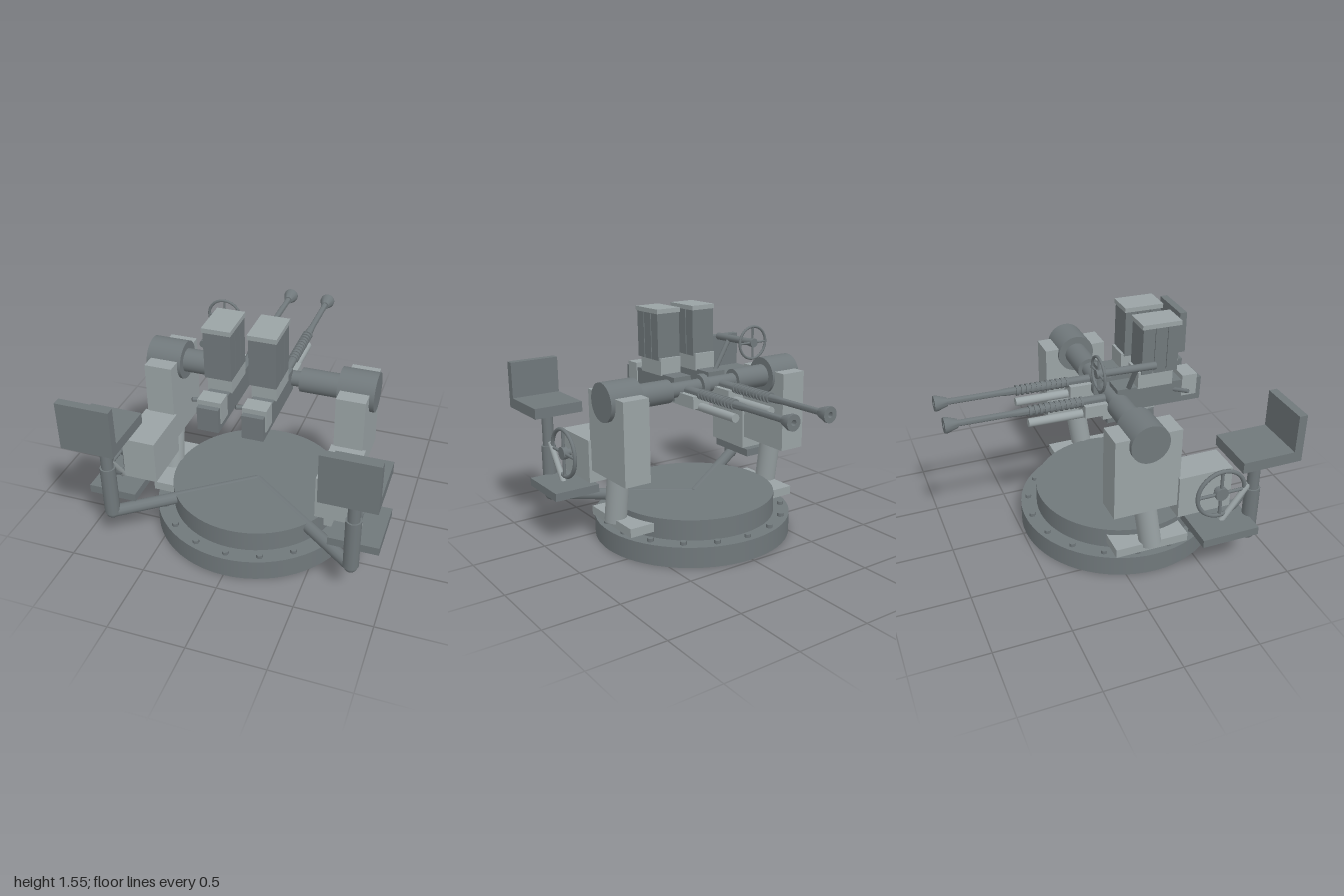
import * as THREE from 'three';
import { toCreasedNormals } from 'three/addons/utils/BufferGeometryUtils.js';

const dark = new THREE.MeshStandardMaterial({ color: 0x70787b });
const light = new THREE.MeshStandardMaterial({ color: 0x9aa3a5 });

function add(parent, name, geometry, material) {
  const mesh = new THREE.Mesh(geometry, material);
  mesh.name = name;
  parent.add(mesh);
  return mesh;
}

// Box given by its low and high limits on each axis
function box(parent, name, material, [x0, x1], [y0, y1], [z0, z1]) {
  const mesh = add(parent, name, new THREE.BoxGeometry(x1 - x0, y1 - y0, z1 - z0), material);
  mesh.position.set((x0 + x1) / 2, (y0 + y1) / 2, (z0 + z1) / 2);
  return mesh;
}

// Round bar between two points
function rod(parent, name, material, from, to, r0, r1 = r0, sides = 20) {
  const a = new THREE.Vector3(...from), b = new THREE.Vector3(...to);
  const dir = b.clone().sub(a);
  const mesh = add(parent, name, new THREE.CylinderGeometry(r1, r0, dir.length(), sides), material);
  mesh.position.copy(a).add(b).multiplyScalar(0.5);
  mesh.quaternion.setFromUnitVectors(new THREE.Vector3(0, 1, 0), dir.normalize());
  return mesh;
}

// Four-spoke wheel lying in its own xy plane
function spokedWheel(name, radius, tube) {
  const wheel = new THREE.Group();
  wheel.name = name;
  add(wheel, 'rim', new THREE.TorusGeometry(radius - tube, tube, 8, 40), dark);
  rod(wheel, 'spoke', dark, [-radius + tube, 0, 0], [radius - tube, 0, 0], tube * 0.8, tube * 0.8, 8);
  rod(wheel, 'spoke', dark, [0, -radius + tube, 0], [0, radius - tube, 0], tube * 0.8, tube * 0.8, 8);
  rod(wheel, 'hub', dark, [0, 0, -0.018], [0, 0, 0.018], radius * 0.25);
  return wheel;
}

function createBase() {
  const base = new THREE.Group();
  base.name = 'base';
  base.position.z = 0.2;
  rod(base, 'lowerDisc', dark, [0, 0, 0], [0, 0.14, 0], 0.68, 0.68, 64);
  rod(base, 'upperDisc', dark, [0, 0.14, 0], [0, 0.28, 0], 0.57, 0.57, 64);
  for (let i = 0; i < 18; i++) {
    const a = (i / 18) * Math.PI * 2;
    const x = Math.sin(a) * 0.63, z = Math.cos(a) * 0.63;
    rod(base, 'bolt', dark, [x, 0.14, z], [x, 0.163, z], 0.022, 0.022, 6);
  }
  return base;
}

// Support, gearbox and operator seat for one side (s = 1 is the left)
function createSide(s) {
  const side = new THREE.Group();
  side.name = s > 0 ? 'leftSide' : 'rightSide';
  const bx = (name, mat, [x0, x1], y, z) => box(side, name, mat, s > 0 ? [x0, x1] : [-x1, -x0], y, z);
  const bar = (name, mat, a, b, r, sides) =>
    rod(side, name, mat, [a[0] * s, a[1], a[2]], [b[0] * s, b[1], b[2]], r, r, sides);

  // Leaning leg and bearing housing
  bx('footPlate', light, [0.45, 0.67], [0.18, 0.24], [-0.08, 0.42]);
  bar('leg', light, [0.635, 0.22, 0.168], [0.635, 0.62, 0.105], 0.073, 24);
  bx('bearingHousing', light, [0.54, 0.725], [0.54, 1.09], [-0.125, 0.31]);
  bar('trunnionDrum', dark, [0.52, 1.047, 0.09], [0.755, 1.047, 0.09], 0.127, 40);
  bar('trunnionSleeve', dark, [0.265, 1.047, 0.09], [0.52, 1.047, 0.09], 0.078, 32);

  // Gearbox with its handwheel
  bx('gearbox', light, [0.525, 0.745], [0.455, 0.745], [0.3, 0.665]);
  bar('wheelShaft', dark, [0.74, 0.6, 0.57], [0.8, 0.6, 0.57], 0.025, 16);
  const wheel = spokedWheel('sideHandwheel', 0.178, 0.014);
  wheel.position.set(0.792 * s, 0.6, 0.57);
  wheel.rotation.y = Math.PI / 2;
  side.add(wheel);

  // Arm from the base, seat post and brace
  bar('seatArm', dark, [0, 0.243, 0.19], [0.795, 0.243, 0.79], 0.041, 12);
  const elbow = add(side, 'elbow', new THREE.SphereGeometry(0.045, 16, 12), dark);
  elbow.position.set(0.795 * s, 0.245, 0.79);
  bar('outerPost', dark, [0.795, 0.245, 0.79], [0.795, 0.6, 0.79], 0.05, 12);
  bar('innerPost', dark, [0.795, 0.6, 0.79], [0.795, 0.86, 0.79], 0.039, 12);
  bar('footrestBrace', light, [0.795, 0.63, 0.76], [0.795, 0.39, 0.585], 0.02, 10);
  bx('footrest', dark, [0.635, 0.955], [0.345, 0.4], [0.38, 0.765]);
  bx('seat', dark, [0.622, 0.968], [0.855, 0.927], [0.6, 1]);
  bx('seatBack', dark, [0.622, 0.968], [0.9, 1.175], [0.945, 1]);
  return side;
}

// One gun; its origin is on the trunnion axis
function createGun() {
  const gun = new THREE.Group();
  gun.name = 'gun';
  box(gun, 'cradle', light, [-0.062, 0.062], [-0.092, -0.01], [-0.2, 0.28]);
  box(gun, 'receiver', dark, [-0.067, 0.067], [-0.08, 0.078], [0.01, 0.6]);
  box(gun, 'rearCollar', light, [-0.075, 0.075], [-0.035, 0.11], [0.46, 0.565]);
  rod(gun, 'gasTube', light, [0, -0.085, 0.1], [0, -0.085, -0.56], 0.028);
  rod(gun, 'chargingHandle', dark, [-0.06, 0.015, 0.41], [-0.15, 0.035, 0.47], 0.014, 0.014, 10);

  // Barrel with cooling rings and a flared muzzle
  const profile = [[0, 0], [0.029, 0], [0.029, 0.4], [0.025, 0.41], [0.025, 0.56], [0.02, 0.62],
    [0.02, 0.955], [0.028, 0.955], [0.05, 1.02], [0.05, 1.04], [0.018, 1.04], [0.018, 0.98], [0, 0.98]]
    .map(([r, y]) => new THREE.Vector2(r, y));
  const barrel = add(gun, 'barrel', toCreasedNormals(new THREE.LatheGeometry(profile, 24), 0.6), dark);
  barrel.rotation.x = -Math.PI / 2;
  barrel.position.z = -0.05;
  for (let i = 0; i < 11; i++) {
    const z = -0.2 - i * 0.034;
    rod(gun, 'coolingRing', dark, [0, 0, z], [0, 0, z - 0.016], 0.035, 0.035, 20);
  }

  // Magazine: core, ribbed sides, feed block and lid
  box(gun, 'feedBlock', light, [-0.078, 0.078], [0.07, 0.185], [0.145, 0.385]);
  box(gun, 'magazineCore', dark, [-0.077, 0.077], [0.17, 0.48], [0.165, 0.41]);
  for (let i = 0; i < 3; i++) {
    const z = 0.163 + i * 0.085;
    box(gun, 'magazinePanel', dark, [-0.085, 0.085], [0.17, 0.48], [z, z + 0.077]);
  }
  box(gun, 'magazineLid', light, [-0.09, 0.09], [0.48, 0.51], [0.155, 0.42]);
  return gun;
}

export function createModel() {
  const model = new THREE.Group();
  model.name = 'twinGunMount';
  model.add(createBase(), createSide(1), createSide(-1));

  // Shaft joining the two supports
  rod(model, 'crossShaft', dark, [-0.27, 1.047, 0.09], [0.27, 1.047, 0.09], 0.05, 0.05, 24);
  rod(model, 'centreCollar', dark, [-0.023, 1.047, 0.09], [0.023, 1.047, 0.09], 0.08, 0.08, 28);

  for (const s of [-1, 1]) {
    const gun = createGun();
    gun.position.set(0.14 * s, 1.047, 0.09);
    gun.rotation.x = 0.02;
    model.add(gun);
  }

  // Sight: ring, tube and strut
  const ring = spokedWheel('sightRing', 0.116, 0.009);
  ring.position.set(-0.31, 1.327, -0.068);
  model.add(ring);
  rod(model, 'sightTube', dark, [-0.31, 1.315, 0.31], [-0.31, 1.327, -0.07], 0.024);
  rod(model, 'sightStrut', dark, [-0.31, 1.32, 0.185], [-0.18, 1.1, 0.185], 0.016, 0.016, 12);
  return model;
}
